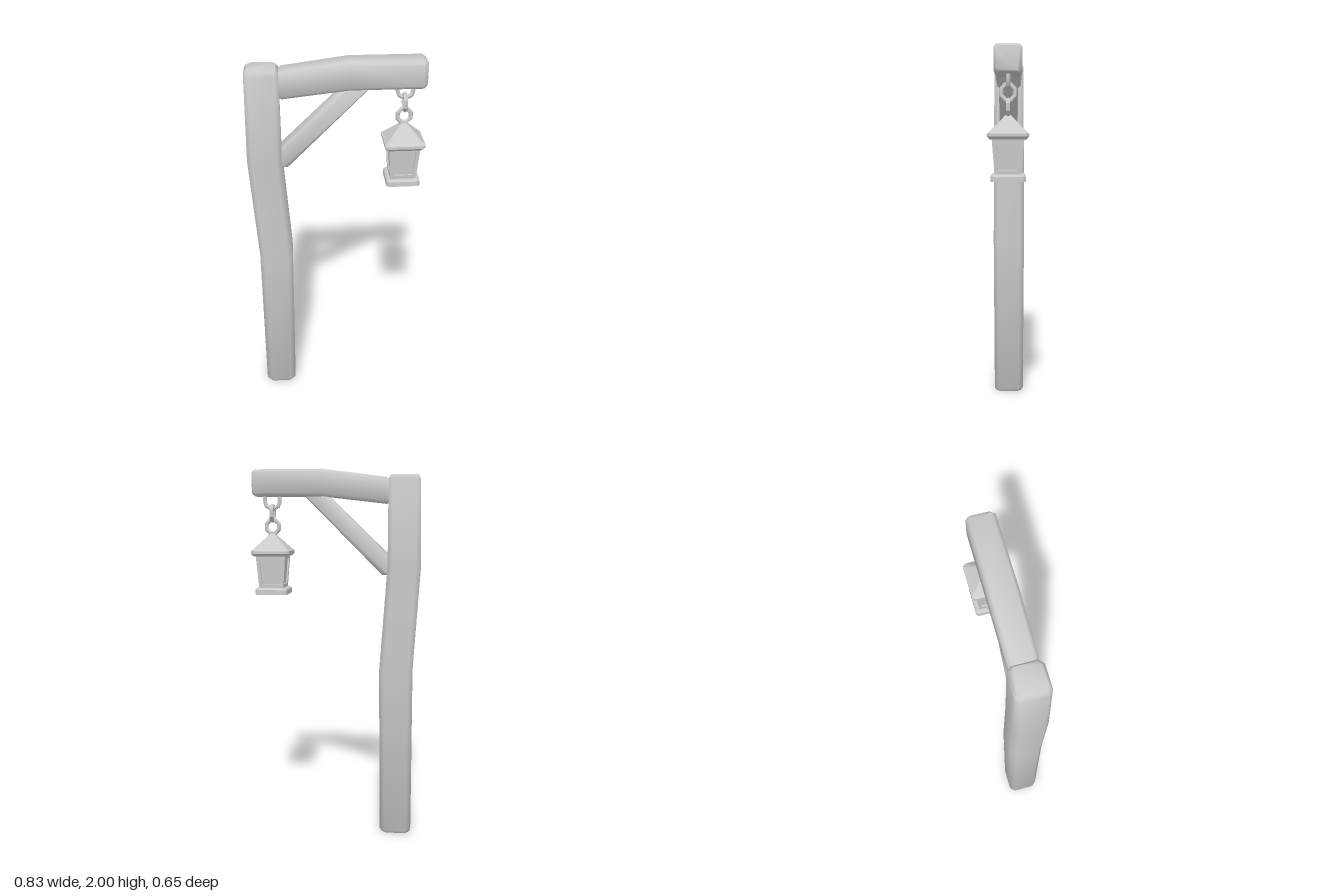
import * as THREE from 'three';
import { mergeVertices, toCreasedNormals } from 'three/addons/utils/BufferGeometryUtils.js';

const wood = new THREE.MeshStandardMaterial({ color: 0xcccccc });
const metal = new THREE.MeshStandardMaterial({ color: 0xcccccc, flatShading: true });

// Loft of chamfered squares along y; each section is [y, x offset, half width, chamfer]
function loft(sections) {
  const pos = [], idx = [];
  for (const [y, ox, h, c] of sections) {
    const k = h - c;
    for (const [x, z] of [[h, -k], [h, k], [k, h], [-k, h], [-h, k], [-h, -k], [-k, -h], [k, -h]]) pos.push(ox + x, y, z);
  }
  const last = sections.length - 1;
  for (let s = 0; s < last; s++) {
    for (let i = 0; i < 8; i++) {
      const a = s * 8 + i, b = s * 8 + (i + 1) % 8;
      idx.push(a, a + 8, b, b, a + 8, b + 8);
    }
  }
  for (let i = 1; i < 7; i++) {
    idx.push(0, i, i + 1);
    idx.push(last * 8, last * 8 + i + 1, last * 8 + i);
  }
  const geo = new THREE.BufferGeometry();
  geo.setAttribute('position', new THREE.Float32BufferAttribute(pos, 3));
  geo.setIndex(idx);
  geo.computeVertexNormals();
  return geo;
}

function add(parent, name, geo, material) {
  const mesh = new THREE.Mesh(geo, material);
  mesh.name = name;
  parent.add(mesh);
  return mesh;
}

const soften = (geo) => toCreasedNormals(geo, 0.95);

// Outline from points, as a closed shape
const outline = (pts) => new THREE.Shape(pts.map(([x, y]) => new THREE.Vector2(x, y)));

// Lantern around its own axis, at world heights
function createLantern() {
  const lantern = new THREE.Group();
  lantern.name = 'lantern';
  add(lantern, 'lanternBase', loft([[1.34, 0, 0.087, 0.012], [1.366, 0, 0.087, 0.012], [1.376, 0, 0.078, 0.01]]), metal);
  add(lantern, 'lanternPanes', loft([[1.37, 0, 0.057, 0.004], [1.56, 0, 0.071, 0.004]]), metal);

  // Leaning window frames on the four sides
  const yb = 1.37, yt = 1.555, wb = 0.066, wt = 0.08;
  const frame = outline([[-wb, 0], [wb, 0], [wt, yt - yb], [-wt, yt - yb]]);
  frame.holes.push(new THREE.Path([[-0.05, 0.026], [-0.059, 0.162], [0.059, 0.162], [0.05, 0.026]].map(([x, y]) => new THREE.Vector2(x, y))));
  const frameGeo = new THREE.ExtrudeGeometry(frame, { depth: 0.014, bevelEnabled: false });
  frameGeo.translate(0, 0, -0.014);
  frameGeo.rotateX(Math.atan((wt - wb) / (yt - yb)));
  frameGeo.translate(0, yb, wb);
  for (let i = 0; i < 4; i++) add(lantern, 'windowFrame', frameGeo, metal).rotation.y = i * Math.PI / 2;

  add(lantern, 'lanternRoof', loft([
    [1.546, 0, 0.09, 0.012], [1.56, 0, 0.103, 0.014], [1.574, 0, 0.103, 0.014],
    [1.587, 0, 0.088, 0.012], [1.655, 0, 0.022, 0.006], [1.665, 0, 0.014, 0.004],
  ]), metal);
  return lantern;
}

// Staple in the beam and two interlocked links
function createChain() {
  const chain = new THREE.Group();
  chain.name = 'chain';
  const pts = [[-0.04, 1.9], [-0.04, 1.835], [-0.034, 1.812], [-0.015, 1.8], [0.015, 1.8], [0.034, 1.812], [0.04, 1.835], [0.04, 1.9]];
  const path = new THREE.CurvePath();
  for (let i = 1; i < pts.length; i++) {
    path.add(new THREE.LineCurve3(new THREE.Vector3(...pts[i - 1], 0), new THREE.Vector3(...pts[i], 0)));
  }
  add(chain, 'staple', new THREE.TubeGeometry(path, 28, 0.011, 6), metal);
  const ring = new THREE.TorusGeometry(0.036, 0.0115, 6, 8);
  ring.rotateZ(Math.PI / 8);
  const upper = add(chain, 'upperLink', ring, metal);
  upper.position.y = 1.773;
  upper.scale.y = 1.12;
  upper.rotation.y = Math.PI / 2;
  const lower = add(chain, 'lowerLink', ring, metal);
  lower.position.y = 1.702;
  lower.scale.y = 1.05;
  return chain;
}

export function createModel() {
  const model = new THREE.Group();
  model.name = 'lanternPost';
  // The beam runs diagonally, towards front left
  model.rotation.y = -0.61;

  // Crooked post
  add(model, 'post', soften(loft([
    [0, -0.344, 0.075, 0.022], [0.02, -0.344, 0.086, 0.025], [0.93, -0.334, 0.09, 0.025],
    [1.5, -0.37, 0.088, 0.025], [1.95, -0.364, 0.083, 0.024], [1.97, -0.364, 0.07, 0.022],
  ])), wood);

  // Bent beam, lofted upright and then laid down along x
  const beam = loft([
    [-0.285, -1.888, 0.06, 0.016], [-0.268, -1.89, 0.068, 0.018], [0.06, -1.93, 0.07, 0.016],
    [0.425, -1.93, 0.07, 0.016], [0.442, -1.93, 0.058, 0.014],
  ]);
  beam.rotateZ(-Math.PI / 2);
  add(model, 'beam', soften(beam), wood);

  // Diagonal brace
  const brace = new THREE.ExtrudeGeometry(
    outline([[-0.29, 1.45], [-0.252, 1.45], [0.185, 1.885], [0.06, 1.885], [-0.29, 1.55]]),
    { depth: 0.076, bevelThickness: 0.012, bevelSize: 0.012, bevelOffset: -0.012, bevelSegments: 1 },
  );
  brace.translate(0, 0, -0.038);
  brace.deleteAttribute('uv');
  brace.deleteAttribute('normal');
  add(model, 'brace', soften(mergeVertices(brace)), wood);

  // Hanging lantern
  const hanging = new THREE.Group();
  hanging.name = 'hangingLantern';
  hanging.position.x = 0.344;
  hanging.add(createChain(), createLantern());
  model.add(hanging);

  const root = new THREE.Group();
  root.add(model);
  return root;
}
